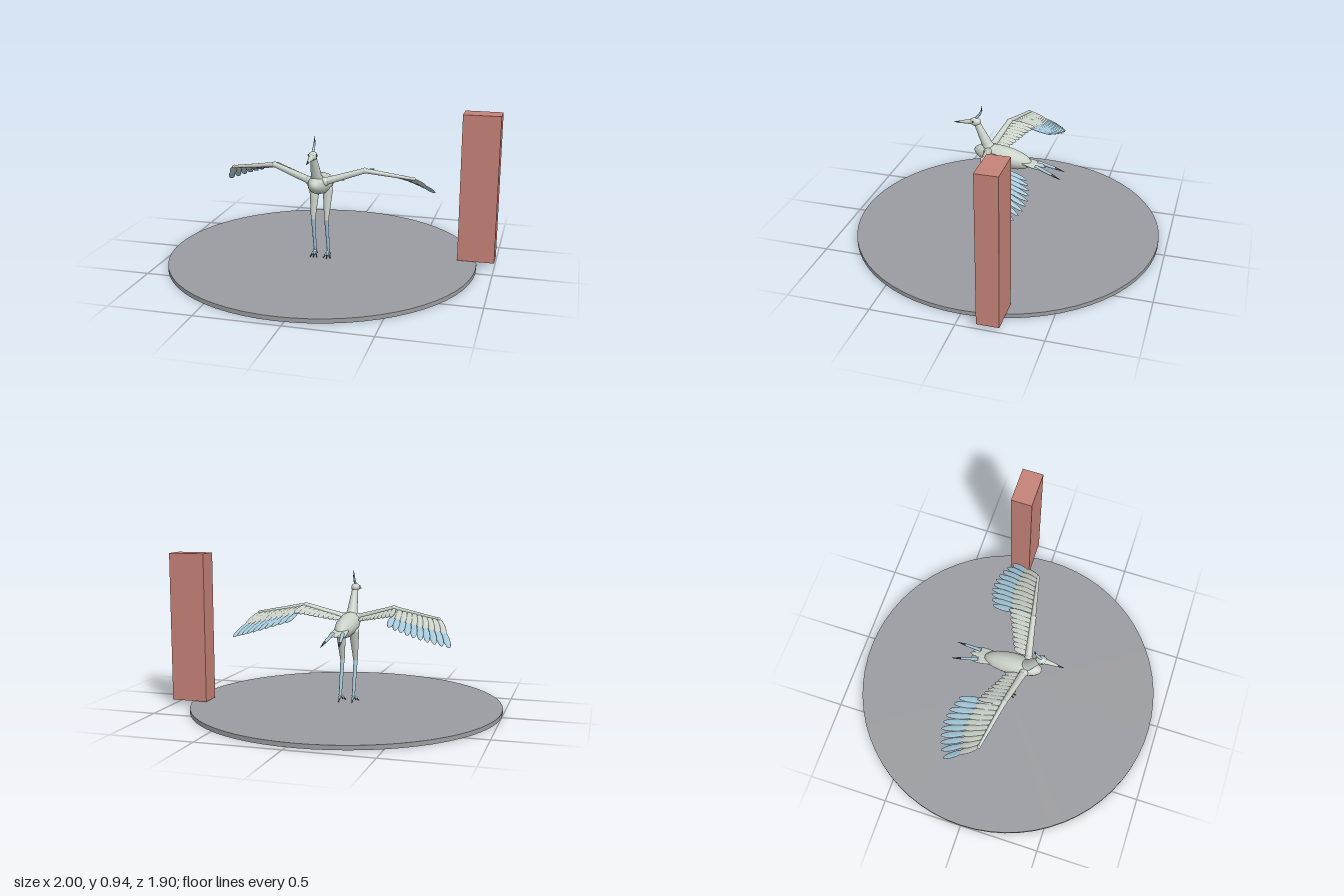
import * as THREE from 'three';

const mat = (name, color) => {
  const m = new THREE.MeshStandardMaterial({ color });
  m.name = name;
  return m;
};
const V = (x, y, z) => new THREE.Vector3(x, y, z);
const lerp = THREE.MathUtils.lerp;

export function createModel() {
  const stone = mat('stone grey', 0x9b9ca1);
  const clay = mat('clay red', 0xc58278);
  const plumage = mat('pale grey green', 0xc9d1c8);
  const blue = mat('pale blue', 0xa6c9da);
  const dark = mat('dark slate', 0x3f474c);

  const root = new THREE.Group();
  const bird = new THREE.Group();
  bird.name = 'bird';
  bird.position.x = -0.05;

  const add = (parent, name, geo, material) => {
    const m = new THREE.Mesh(geo, material);
    m.name = name;
    parent.add(m);
    return m;
  };
  // Tapered round limb between two points
  const limb = (parent, name, a, b, ra, rb, material) => {
    const m = add(parent, name, new THREE.CylinderGeometry(rb, ra, a.distanceTo(b), 16), material);
    m.position.copy(a).lerp(b, 0.5);
    m.quaternion.setFromUnitVectors(V(0, 1, 0), b.clone().sub(a).normalize());
    return m;
  };
  const ball = (parent, name, p, r, material) => {
    const m = add(parent, name, new THREE.SphereGeometry(r, 20, 14), material);
    m.position.copy(p);
    return m;
  };
  // Flattened ellipsoid from a to b, its width lying along the given side direction
  const feather = (parent, name, a, b, width, thick, side, material) => {
    const y = b.clone().sub(a).normalize();
    const z = side.clone().cross(y).normalize();
    const x = y.clone().cross(z);
    const m = add(parent, name, new THREE.SphereGeometry(1, 12, 10), material);
    m.quaternion.setFromRotationMatrix(new THREE.Matrix4().makeBasis(x, y, z));
    m.scale.set(width, a.distanceTo(b) / 2, thick);
    m.position.copy(a).lerp(b, 0.5);
    return m;
  };

  // Ground disc and post
  add(root, 'groundDisc', new THREE.CylinderGeometry(0.95, 0.95, 0.026, 64), stone)
    .position.set(-0.05, 0.013, 0);
  add(root, 'post', new THREE.BoxGeometry(0.225, 0.91, 0.13), clay)
    .position.set(0.8865, 0.485, -0.185);

  // Body
  feather(bird, 'body', V(0, 0.535, 0.215), V(0, 0.475, -0.15), 0.066, 0.066, V(1, 0, 0), plumage);

  // Neck, head, beak
  limb(bird, 'neck', V(0, 0.56, 0.125), V(0, 0.715, 0.2), 0.034, 0.018, plumage);
  ball(bird, 'neckBase', V(0, 0.56, 0.125), 0.036, plumage);
  ball(bird, 'head', V(0, 0.717, 0.205), 0.028, plumage).scale.set(0.95, 0.95, 1.2);
  limb(bird, 'beak', V(0, 0.715, 0.225), V(0, 0.703, 0.305), 0.018, 0.007, plumage);
  limb(bird, 'beakTip', V(0, 0.703, 0.305), V(0, 0.698, 0.343), 0.007, 0.001, dark);

  // Curved crest
  limb(bird, 'crestBase', V(0, 0.735, 0.205), V(0, 0.765, 0.18), 0.008, 0.007, blue);
  limb(bird, 'crestMiddle', V(0, 0.765, 0.18), V(0, 0.793, 0.167), 0.007, 0.005, blue);
  limb(bird, 'crestTip', V(0, 0.793, 0.167), V(0, 0.825, 0.163), 0.005, 0.001, dark);

  // Tail fan
  for (let i = -2; i <= 2; i++) {
    feather(bird, 'tailFeather', V(i * 0.012, 0.5, -0.06),
      V(i * 0.021, 0.465, -0.24 + Math.abs(i) * 0.012), 0.018, 0.007, V(1, 0, 0), plumage);
  }

  for (const s of [1, -1]) {
    const P = (x, y, z) => V(s * x, y, z);
    ball(bird, 'eye', P(0.025, 0.723, 0.215), 0.005, dark);

    // Tail streamer
    limb(bird, 'tailStreamer', P(0.03, 0.48, -0.18), P(0.046, 0.445, -0.285), 0.011, 0.008, blue);
    limb(bird, 'tailStreamerTip', P(0.046, 0.445, -0.285), P(0.055, 0.422, -0.345), 0.008, 0.001, dark);

    // Leg
    const hip = P(0.042, 0.465, 0.025), knee = P(0.042, 0.285, 0.06), ankle = P(0.042, 0.07, 0.015);
    ball(bird, 'hip', hip, 0.031, plumage);
    limb(bird, 'thigh', hip, knee, 0.031, 0.014, plumage);
    ball(bird, 'knee', knee, 0.014, plumage);
    limb(bird, 'shin', knee, ankle, 0.013, 0.009, blue);
    ball(bird, 'ankle', ankle, 0.011, blue);
    for (const [dx, dz] of [[-0.022, 0.042], [0, 0.052], [0.022, 0.042], [0, -0.04]]) {
      const end = ankle.clone().add(V(dx, -0.038, dz));
      const mid = ankle.clone().lerp(end, 0.6);
      limb(bird, 'toe', ankle, mid, 0.007, 0.006, blue);
      limb(bird, 'claw', mid, end, 0.006, 0.002, dark);
    }

    // Wing bones
    const shoulder = P(0.045, 0.54, 0.115), elbow = P(0.28, 0.612, 0.07), wrist = P(0.565, 0.565, 0.012);
    ball(bird, 'shoulder', shoulder, 0.028, plumage);
    limb(bird, 'upperArm', shoulder, elbow, 0.023, 0.016, plumage);
    ball(bird, 'elbow', elbow, 0.018, plumage);
    limb(bird, 'forearm', elbow, wrist, 0.015, 0.009, plumage);
    ball(bird, 'wrist', wrist, 0.011, plumage);

    // Inner feathers along the upper arm
    const innerSide = elbow.clone().sub(shoulder).multiplyScalar(s);
    for (let i = 0; i < 9; i++) {
      const t = i / 8;
      const base = shoulder.clone().lerp(elbow, 0.12 + 0.88 * t);
      const tip = P(lerp(0.085, 0.3, t), lerp(0.535, 0.58, t), lerp(0.01, -0.09, t));
      feather(bird, 'innerFeather', base, tip, 0.02, 0.007, innerSide, plumage);
    }

    // Outer feathers along the forearm, each with a long blue flight feather
    const outerSide = wrist.clone().sub(elbow).multiplyScalar(s);
    for (let i = 0; i < 10; i++) {
      const t = i / 9;
      const bow = 4 * t * (1 - t);
      const base = elbow.clone().lerp(wrist, 0.03 + 0.97 * t);
      const tip = P(lerp(0.315, 0.665, t), lerp(0.535, 0.43, t),
        lerp(-0.2, -0.185, t) - 0.055 * bow);
      feather(bird, 'coverFeather', base, base.clone().lerp(tip, 0.58), 0.022, 0.007, outerSide, plumage);
      feather(bird, 'flightFeather', base.clone().lerp(tip, 0.42), tip, 0.02, 0.006, outerSide, blue);
    }
  }

  root.add(bird);
  return root;
}
